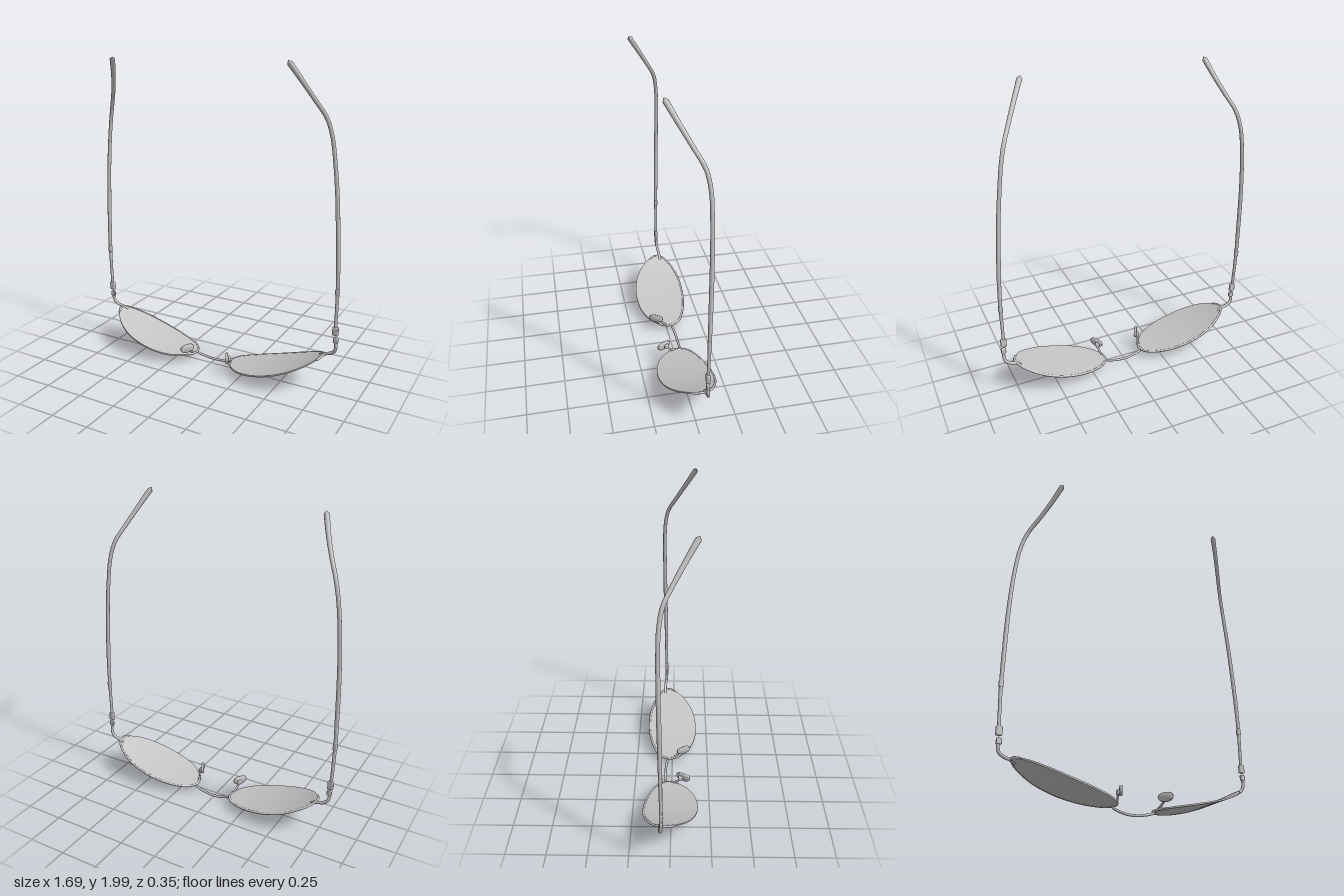
import * as THREE from 'three';
import { toCreasedNormals } from 'three/addons/utils/BufferGeometryUtils.js';
import { RoundedBoxGeometry } from 'three/addons/geometries/RoundedBoxGeometry.js';

const MID = 0.01; // mirror plane of the front
const V = (x, y, z) => new THREE.Vector3(x, y, z);
const at = (s, u, y, z) => V(MID + s * u, y, z);
const bend = u => 0.04 + 0.31 * u * u + 0.09 * u ** 6; // wrap of the lenses around the face

// Lens outline (distance from the middle, z), running from the nose over the brow
const outline = new THREE.CatmullRomCurve3([
  [0.13, -0.03], [0.165, -0.088], [0.25, -0.133], [0.36, -0.162], [0.47, -0.171], [0.58, -0.161],
  [0.67, -0.128], [0.73, -0.085], [0.752, -0.035], [0.725, 0.03], [0.675, 0.088], [0.6, 0.135],
  [0.52, 0.161], [0.42, 0.17], [0.32, 0.158], [0.23, 0.122], [0.165, 0.065], [0.136, 0.015],
].map(([u, z]) => V(u, 0, z)), true);

// Tube whose radius follows a list of values, closed at both ends
function sweep(points, radii, segments = 32, sides = 10) {
  const curve = new THREE.CatmullRomCurve3(points);
  const geo = new THREE.TubeGeometry(curve, segments, 1, sides);
  const pos = geo.attributes.position;
  const v = V();
  for (let i = 0; i <= segments; i++) {
    const c = curve.getPointAt(i / segments);
    const f = (i / segments) * (radii.length - 1);
    const k = Math.min(Math.floor(f), radii.length - 2);
    const r = i === 0 || i === segments ? 0 : THREE.MathUtils.lerp(radii[k], radii[k + 1], f - k);
    for (let j = 0; j <= sides; j++) {
      const n = i * (sides + 1) + j;
      v.fromBufferAttribute(pos, n).sub(c).multiplyScalar(r).add(c);
      pos.setXYZ(n, v.x, v.y, v.z);
    }
  }
  return geo;
}

// Thin curved lens made of scaled copies of the outline, upper face to lower face
function lensGeometry(s) {
  const N = 64, R = 10, T = 0.005, cu = 0.44;
  const rings = [];
  for (let k = 0; k <= R; k++) rings.push([k / R, T]);
  for (let k = R; k >= 0; k--) rings.push([k / R, -T]);
  const rim = Array.from({ length: N }, (_, j) => outline.getPointAt(j / N));
  const pos = [], idx = [];
  for (const [f, dy] of rings) {
    for (const p of rim) {
      const u = cu + (p.x - cu) * f;
      pos.push(MID + s * u, bend(u) + dy, p.z * f);
    }
  }
  for (let k = 0; k < rings.length - 1; k++) {
    for (let j = 0; j < N; j++) {
      const a = k * N + j, b = k * N + (j + 1) % N, c = a + N, d = b + N;
      const quad = [[a, b, c], [b, d, c]];
      // Skip the collapsed triangles at the centre
      if (k === 0) quad.shift();
      if (k === rings.length - 2) quad.pop();
      for (const [p, q, r] of quad) s > 0 ? idx.push(p, q, r) : idx.push(p, r, q);
    }
  }
  const geo = new THREE.BufferGeometry();
  geo.setAttribute('position', new THREE.Float32BufferAttribute(pos, 3));
  geo.setIndex(idx);
  return toCreasedNormals(geo, 0.7);
}

// Nose pad: a soft rounded plate, its long side along x
function padGeometry() {
  const shape = new THREE.Shape();
  shape.moveTo(-0.045, 0.004);
  shape.bezierCurveTo(-0.045, 0.02, -0.02, 0.024, 0.01, 0.023);
  shape.bezierCurveTo(0.035, 0.022, 0.047, 0.012, 0.045, -0.002);
  shape.bezierCurveTo(0.042, -0.018, 0.02, -0.025, 0, -0.024);
  shape.bezierCurveTo(-0.025, -0.023, -0.045, -0.012, -0.045, 0.004);
  const geo = new THREE.ExtrudeGeometry(shape, {
    depth: 0.006, bevelThickness: 0.006, bevelSize: 0.005, bevelSegments: 3, curveSegments: 8,
  });
  return toCreasedNormals(geo.center(), 0.9);
}

export function createModel() {
  const model = new THREE.Group();
  model.name = 'eyeglasses';
  const grey = new THREE.MeshStandardMaterial({ color: 0xc4c4c4 });
  grey.name = 'grey';
  const add = (parent, name, geo, p) => {
    const mesh = new THREE.Mesh(geo, grey);
    mesh.name = name;
    if (p) mesh.position.copy(p);
    parent.add(mesh);
    return mesh;
  };
  const block = (w, h, d) => new RoundedBoxGeometry(w, h, d, 2, Math.min(w, h, d) * 0.3);

  // Bridge between the lenses, stepping up to the rims
  add(model, 'bridge', sweep([
    at(-1, 0.14, 0.052, -0.025), at(-1, 0.136, 0.036, -0.032), at(-1, 0.07, 0.016, -0.042), at(1, -0.01, 0.009, -0.045),
    at(1, 0.07, 0.016, -0.042), at(1, 0.136, 0.036, -0.032), at(1, 0.14, 0.052, -0.025),
  ], [0.008, 0.008], 40));

  // The two temple arms differ slightly, as bent wire does
  const arms = {
    left: [[0.823, 0.36, -0.05], [0.824, 0.5, -0.052], [0.824, 0.65, -0.053], [0.817, 0.85, -0.055],
      [0.804, 1.05, -0.058], [0.788, 1.25, -0.06], [0.768, 1.42, -0.06], [0.747, 1.56, -0.055],
      [0.718, 1.67, -0.034], [0.668, 1.77, 0.02], [0.615, 1.87, 0.077], [0.546, 1.995, 0.146]],
    right: [[-0.822, 0.34, -0.05], [-0.828, 0.5, -0.052], [-0.832, 0.65, -0.053], [-0.83, 0.85, -0.055],
      [-0.826, 1.05, -0.058], [-0.817, 1.25, -0.06], [-0.802, 1.43, -0.06], [-0.783, 1.56, -0.055],
      [-0.751, 1.67, -0.034], [-0.699, 1.77, 0.02], [-0.653, 1.865, 0.077], [-0.606, 1.978, 0.146]],
  };

  for (const [side, s] of [['left', 1], ['right', -1]]) {
    const half = new THREE.Group();
    half.name = side + 'Half';
    model.add(half);
    add(half, 'lens', lensGeometry(s));

    // Half rim along the brow, from nose to temple
    const rim = [];
    for (let i = 0; i <= 30; i++) {
      const p = outline.getPointAt((((-0.06 + i / 30 * 0.58) % 1) + 1) % 1);
      rim.push(at(s, p.x, bend(p.x), p.z));
    }
    add(half, 'rim', sweep(rim, [0.0075, 0.0075], 60, 8));

    // Nose pad on its bent wire
    add(half, 'padWire', sweep([
      at(s, 0.139, 0.05, 0.005), at(s, 0.142, 0.06, 0.025), at(s, 0.148, 0.078, 0.045), at(s, 0.153, 0.1, 0.06),
    ], [0.007, 0.007], 16, 8));
    add(half, 'padMount', block(0.022, 0.03, 0.03), at(s, 0.151, 0.1, 0.06));
    const pad = add(half, 'nosePad', padGeometry(), at(s, 0.147, 0.107, 0.078));
    pad.rotation.y = -Math.atan2(0.88, s * 0.47);

    // End piece curling from the rim up to the hinge
    const hx = side === 'left' ? 0.829 : -0.818;
    const sx = u => hx + s * u;
    add(half, 'endPiece', sweep([
      at(s, 0.715, 0.21, -0.06), at(s, 0.745, 0.226, -0.06), V(sx(-0.035), 0.24, -0.06),
      V(sx(-0.008), 0.258, -0.057), V(sx(0.002), 0.285, -0.053), V(sx(0), 0.34, -0.05),
    ], [0.01, 0.01], 28));

    // Hinge blocks and collar
    const up = side === 'left' ? 0.022 : 0;
    add(half, 'hingeLower', block(0.032, 0.036, 0.02), V(sx(0), 0.318 + up, -0.05));
    add(half, 'hingeUpper', block(0.037, 0.056, 0.024), V(hx - 0.004, 0.376 + up, -0.05));
    const arm = arms[side].map(p => V(...p));
    add(half, 'collar', block(0.026, 0.045, 0.024), arm[2]);

    // Temple arm, slim at the hinge and thicker at the ear tip
    add(half, 'templeArm', sweep(arm,
      [0.01, 0.01, 0.0115, 0.013, 0.0135, 0.013, 0.0125, 0.012, 0.012, 0.0125, 0.014, 0.017], 90, 12));
  }
  return model;
}
